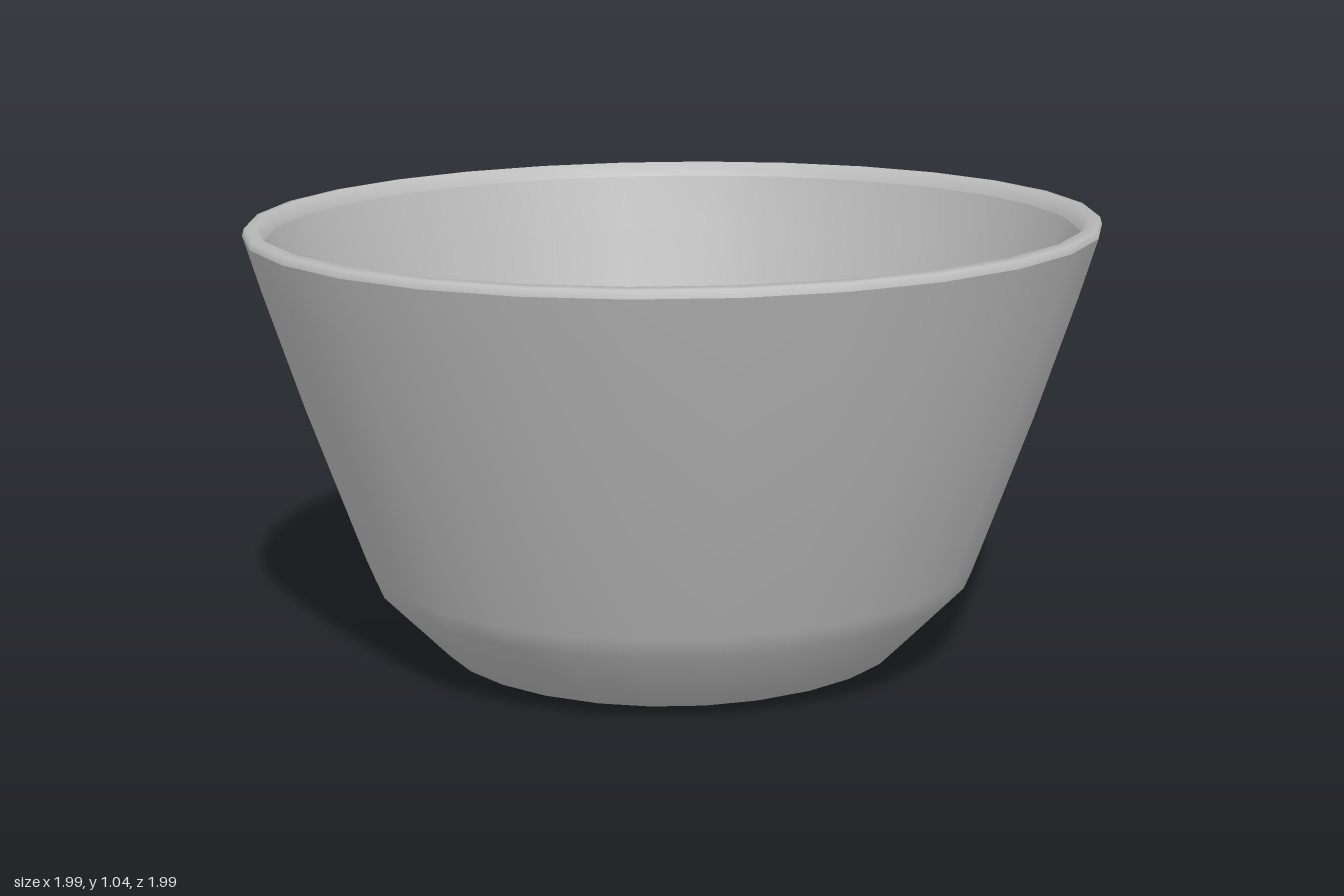
import * as THREE from 'three';
import { toCreasedNormals } from 'three/addons/utils/BufferGeometryUtils.js';

export function createModel() {
  const group = new THREE.Group();
  const clay = new THREE.MeshStandardMaterial({ color: 0xbcbcbc });
  clay.name = 'grey clay';

  // Turn a profile into a ring of 28 sides and lean it slightly up towards +x
  const turned = (name, points, crease) => {
    const profile = points.map(([r, y]) => new THREE.Vector2(r, y));
    let geometry = new THREE.LatheGeometry(profile, 28);
    const pos = geometry.attributes.position;
    for (let i = 0; i < pos.count; i++) {
      pos.setY(i, pos.getY(i) + 0.012 * pos.getX(i));
    }
    geometry.computeVertexNormals();
    geometry = toCreasedNormals(geometry, crease);
    const mesh = new THREE.Mesh(geometry, clay);
    mesh.name = name;
    group.add(mesh);
  };

  // Hollow underside of the foot
  turned('underside', [[0, 0.05], [0.42, 0.05], [0.5, 0.025], [0.535, 0.008]], 0.9);

  // Chamfered foot and flared outer wall
  turned('outerWall', [
    [0.535, 0.008], [0.56, 0.018], [0.715, 0.18], [0.735, 0.23],
    [0.865, 0.6], [0.955, 0.88], [0.995, 1.015],
  ], 0.6);

  // Narrow rounded lip
  turned('rim', [[0.995, 1.015], [0.99, 1.032], [0.965, 1.035], [0.945, 1.0]], 1.2);

  // Inside wall curving into a flat floor
  turned('innerWall', [
    [0.945, 1.0], [0.9, 0.86], [0.81, 0.6], [0.7, 0.28],
    [0.64, 0.18], [0.54, 0.13], [0.3, 0.12], [0, 0.12],
  ], 1.0);

  return group;
}
